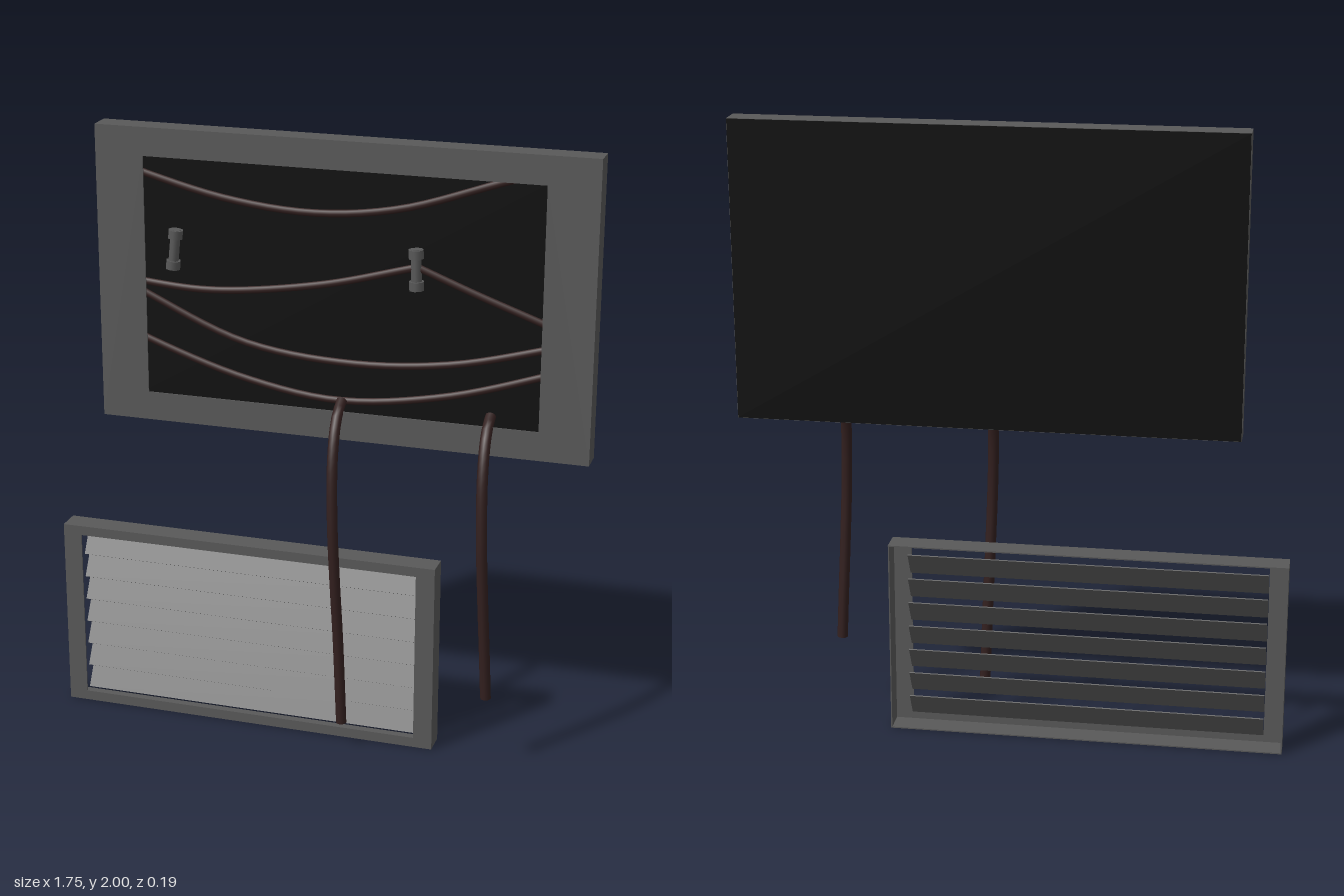
import * as THREE from 'three';

const mat = (name, color, side = THREE.FrontSide) => {
  const m = new THREE.MeshStandardMaterial({ color, side });
  m.name = name;
  return m;
};

export function createModel() {
  const grey = mat('frame grey', 0x595959);
  const black = mat('backing black', 0x0d0d0d);
  const brown = mat('cable brown', 0x33201f);
  const FRONT = -0.016, BACK = -0.095, T = 0.004;
  const model = new THREE.Group();

  const add = (parent, name, geometry, material, x = 0, y = 0, z = 0) => {
    const mesh = new THREE.Mesh(geometry, material);
    mesh.name = name;
    mesh.position.set(x, y, z);
    parent.add(mesh);
    return mesh;
  };

  // Open shell: thin bezel with a rectangular opening, plus thin outer walls
  function frame(name, [x0, x1, y0, y1], [a0, a1, b0, b1]) {
    const g = new THREE.Group();
    g.name = name;
    const rect = (C, l, r, b, t) => new C([[l, b], [r, b], [r, t], [l, t]].map(p => new THREE.Vector2(...p)));
    const shape = rect(THREE.Shape, x0, x1, y0, y1);
    shape.holes.push(rect(THREE.Path, a0, a1, b0, b1));
    add(g, 'bezel', new THREE.ExtrudeGeometry(shape, { depth: T, bevelEnabled: false }), grey, 0, 0, FRONT - T);
    const d = FRONT - T - BACK, z = BACK + d / 2, cx = (x0 + x1) / 2, cy = (y0 + y1) / 2;
    for (const x of [x0 + T / 2, x1 - T / 2]) add(g, 'sideWall', new THREE.BoxGeometry(T, y1 - y0, d), grey, x, cy, z);
    for (const y of [y0 + T / 2, y1 - T / 2]) add(g, 'edgeWall', new THREE.BoxGeometry(x1 - x0 - 2 * T, T, d), grey, cx, y, z);
    model.add(g);
    return g;
  }

  // Smooth cable through points, closed with end caps
  function cable(parent, name, pts, radius) {
    const curve = new THREE.CatmullRomCurve3(pts.map(p => new THREE.Vector3(...p)));
    add(parent, name, new THREE.TubeGeometry(curve, 32, radius, 8), brown);
    for (const [t, s] of [[0, -1], [1, 1]]) {
      const p = curve.getPoint(t);
      const cap = add(parent, name + 'End', new THREE.CircleGeometry(radius, 8), brown, p.x, p.y, p.z);
      cap.quaternion.setFromUnitVectors(new THREE.Vector3(0, 0, 1), curve.getTangent(t).multiplyScalar(s));
    }
  }

  // Upper wiring box with black back plate
  const box = frame('wiringBox', [-0.717, 0.873, 1.046, 2], [-0.56, 0.713, 1.139, 1.909]);
  add(box, 'backPlate', new THREE.BoxGeometry(1.588, 0.952, T), black, 0.078, 1.523, BACK + T / 2 - 0.0005);

  // Sagging cables inside the box
  const inner = [
    [[-0.71, 1.885], [-0.56, 1.84], [-0.3, 1.78], [-0.02, 1.757], [0.25, 1.79], [0.6, 1.905], [0.86, 1.98]],
    [[-0.71, 1.51], [-0.56, 1.49], [-0.35, 1.482], [0, 1.53], [0.31, 1.612]],
    [[0.31, 1.612], [0.5, 1.54], [0.713, 1.465], [0.86, 1.41]],
    [[-0.71, 1.52], [-0.56, 1.445], [-0.25, 1.32], [0.1, 1.283], [0.42, 1.31], [0.713, 1.385], [0.86, 1.43]],
    [[-0.71, 1.36], [-0.56, 1.297], [-0.25, 1.2], [0.06, 1.157], [0.4, 1.203], [0.713, 1.3], [0.86, 1.355]],
  ];
  inner.forEach(pts => cable(box, 'innerCable', pts.map(([x, y]) => [x, y, -0.07]), 0.012));

  // Ribbed cable clips
  for (const [x, y, tilt] of [[-0.48, 1.605, -0.1], [0.307, 1.605, 0.03]]) {
    const clip = new THREE.Group();
    clip.name = 'cableClip';
    add(clip, 'clipBody', new THREE.CylinderGeometry(0.017, 0.017, 0.13, 8), grey);
    for (const h of [-0.05, 0.05]) add(clip, 'clipCollar', new THREE.CylinderGeometry(0.024, 0.024, 0.028, 8), grey, 0, h, 0);
    clip.position.set(x, y, -0.065);
    clip.rotation.z = tilt;
    model.add(clip);
  }

  // Two loose cables drooping out over the lower lip
  for (const [x, x2, end] of [[0.073, 0.11, 0.09], [0.553, 0.588, 0.25]]) {
    const pts = [[1.16, -0.06], [1.135, -0.015], [1.09, 0.022], [0.99, 0.06], [0.8, 0.08], [0.6, 0.074], [0.4, 0.06], [end, 0.052]];
    cable(model, 'looseCable', pts.map(([y, z]) => [x + (x2 - x) * (1.16 - y) / (1.16 - end), y, z]), 0.0175);
  }

  // Lower vent cover with slanted louvres, high at the back
  const vent = frame('ventCover', [-0.877, 0.397, 0, 0.64], [-0.815, 0.335, 0.033, 0.608]);
  const pitch = 0.082, rise = 0.077, run = 0.045;
  for (let i = 0; i < 7; i++) {
    const slat = add(vent, 'louvre', new THREE.BoxGeometry(1.15, Math.hypot(rise, run), 0.004), grey, -0.24, 0.036 + pitch * (i + 0.5), -0.062);
    slat.rotation.x = -Math.atan2(run, rise);
  }
  return model;
}
